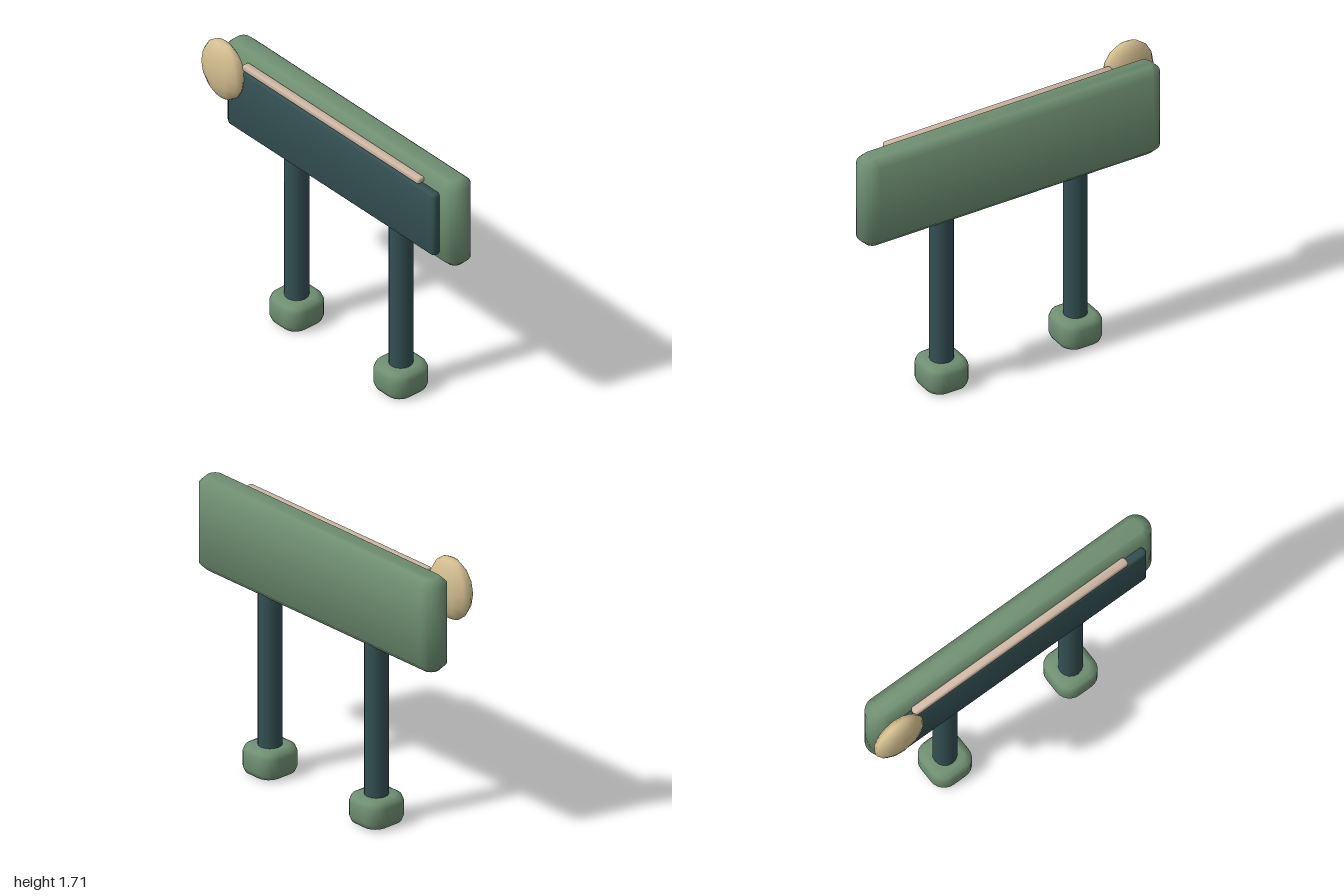
import * as THREE from 'three';
import { toCreasedNormals } from 'three/addons/utils/BufferGeometryUtils.js';

const material = (name, color) => {
  const m = new THREE.MeshStandardMaterial({ color });
  m.name = name;
  return m;
};

// Block with rounded plan corners (radius r) and bevelled top and bottom rims
function slab(w, h, d, r, bevel, bevelSegments, curveSegments) {
  const x = w / 2 - bevel, y = d / 2 - bevel, c = r - bevel;
  const s = new THREE.Shape();
  s.moveTo(-x + c, -y);
  s.lineTo(x - c, -y);
  s.absarc(x - c, -y + c, c, -Math.PI / 2, 0);
  s.lineTo(x, y - c);
  s.absarc(x - c, y - c, c, 0, Math.PI / 2);
  s.lineTo(-x + c, y);
  s.absarc(-x + c, y - c, c, Math.PI / 2, Math.PI);
  s.lineTo(-x, -y + c);
  s.absarc(-x + c, -y + c, c, Math.PI, Math.PI * 1.5);
  const g = new THREE.ExtrudeGeometry(s, {
    depth: h - 2 * bevel, bevelEnabled: true, bevelSize: bevel,
    bevelThickness: bevel, bevelSegments, curveSegments,
  });
  g.translate(0, 0, bevel - h / 2);
  g.rotateX(-Math.PI / 2);
  g.deleteAttribute('uv');
  return toCreasedNormals(g, 0.9);
}

export function createModel() {
  const model = new THREE.Group();
  model.name = 'signBoard';
  const green = material('sage green', 0x6f8f72);
  const dark = material('dark teal', 0x345053);
  const tan = material('tan', 0xd3be90);
  const rose = material('pale rose', 0xcfb8a4);

  const add = (name, geometry, mat, x, y, z) => {
    const mesh = new THREE.Mesh(geometry, mat);
    mesh.name = name;
    mesh.position.set(x, y, z);
    model.add(mesh);
    return mesh;
  };

  // Board, its front panel and the rail above the panel
  add('board', slab(1.93, 0.56, 0.175, 0.086, 0.04, 1, 6), green, 0.035, 1.36, -0.045);
  add('panel', slab(1.725, 0.405, 0.056, 0.027, 0.015, 2, 3), dark, 0.033, 1.358, 0.065);
  add('rail', slab(1.47, 0.036, 0.052, 0.017, 0.008, 1, 3), rose, 0.03, 1.588, 0.067);

  // Flattened disc at the upper corner
  const disc = add('disc', new THREE.SphereGeometry(1, 12, 8), tan, -0.835, 1.52, 0.11);
  disc.scale.set(0.165, 0.188, 0.07);

  // Posts and feet
  const post = new THREE.CylinderGeometry(0.069, 0.069, 1.02, 16);
  const foot = slab(0.26, 0.17, 0.27, 0.09, 0.04, 2, 3);
  [['right', -0.4], ['left', 0.465]].forEach(([side, x]) => {
    add(side + 'Post', post, dark, x, 0.61, -0.045);
    add(side + 'Foot', foot, green, x, 0.085, -0.045);
  });
  return model;
}
